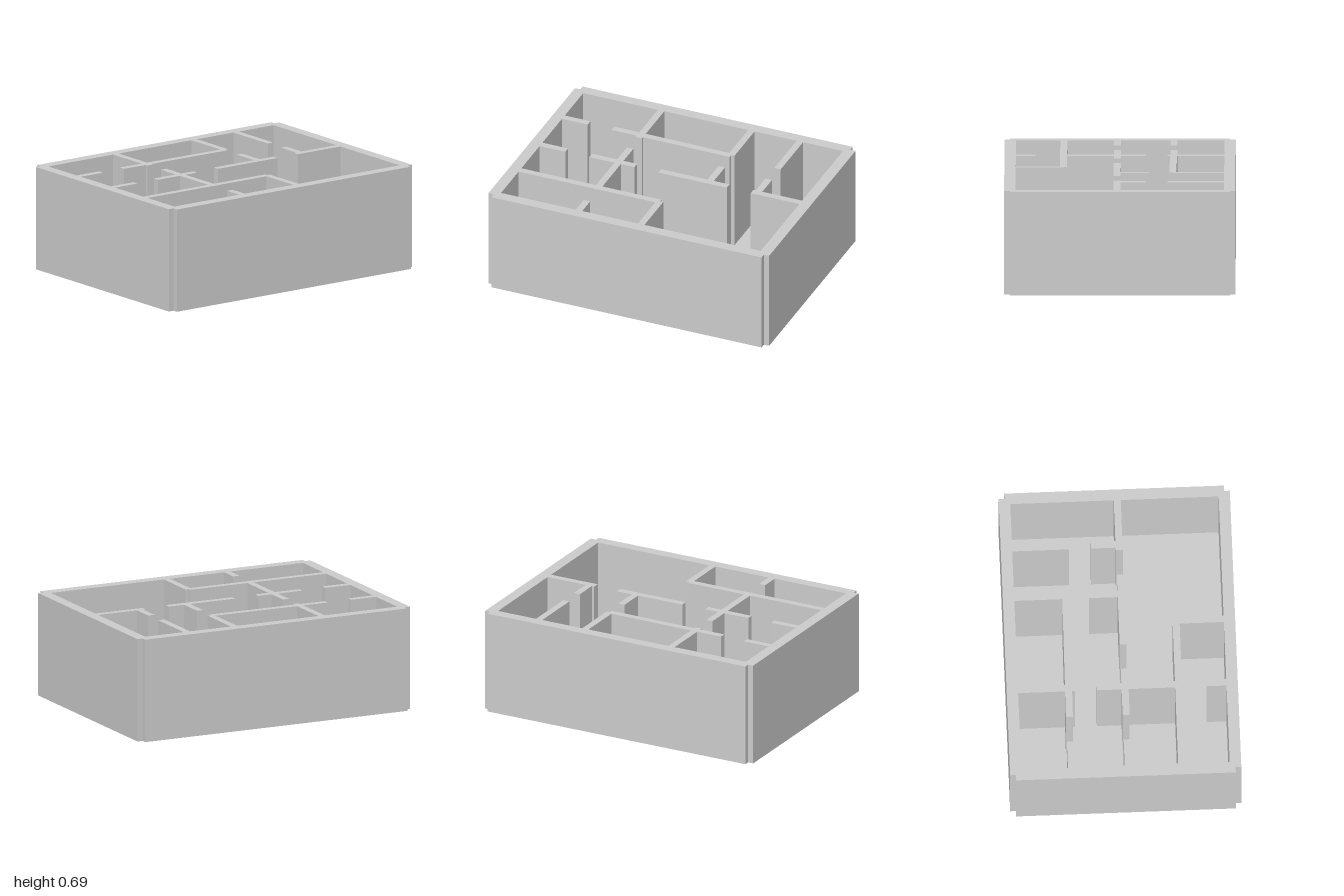
import * as THREE from 'three';

const HEIGHT = 0.69;
const X = 0.9625, Z = 0.72; // centre lines of the outer walls
const OUTER = 0.075, INNER = 0.046;

const plaster = new THREE.MeshStandardMaterial({ color: 0xcccccc, side: THREE.DoubleSide });
plaster.name = 'plaster grey';

// Upright wall along a centre line, open underneath
function wall(name, [x1, z1, x2, z2], thickness) {
  const length = Math.hypot(x2 - x1, z2 - z1);
  const geometry = new THREE.BoxGeometry(length, HEIGHT, thickness);
  const index = Array.from(geometry.index.array);
  index.splice(18, 6); // drop the underside
  geometry.setIndex(index);
  geometry.clearGroups();
  const mesh = new THREE.Mesh(geometry, plaster);
  mesh.name = name;
  mesh.position.set((x1 + x2) / 2, HEIGHT / 2, (z1 + z2) / 2);
  mesh.rotation.y = -Math.atan2(z2 - z1, x2 - x1);
  return mesh;
}

export function createModel() {
  const model = new THREE.Group();
  model.name = 'floorPlan';

  // Thin floor reaching to the middle of the outer walls
  const floor = new THREE.Mesh(new THREE.BoxGeometry(2 * X, 0.005, 2 * Z), plaster);
  floor.name = 'floor';
  floor.position.y = 0.0025;
  model.add(floor);

  // Outer walls, leaving a notch at each corner
  const outerWalls = new THREE.Group();
  outerWalls.name = 'outerWalls';
  outerWalls.add(
    wall('frontWall', [-X, Z, X, Z], OUTER),
    wall('backWall', [-X, -Z, X, -Z], OUTER),
    wall('leftWall', [X, -Z, X, Z], OUTER),
    wall('rightWall', [-X, -Z, -X, Z], OUTER)
  );
  model.add(outerWalls);

  // Partitions as centre lines: x1, z1, x2, z2; gaps are doorways
  const partitions = [
    // running front to back
    [-0.37, -Z, -0.37, -0.31], [-0.37, -0.167, -0.37, 0.395], [-0.37, 0.552, -0.37, Z],
    [0.273, -Z, 0.273, -0.346], [0.273, -0.192, 0.273, 0.018],
    [0.618, -Z, 0.618, -0.31], [0.618, -0.167, 0.618, 0.018],
    [0.073, 0.368, 0.073, Z],
    // running side to side
    [-X, -0.354, -0.742, -0.354], [-0.572, -0.354, 0.273, -0.345],
    [-X, 0.018, -0.742, 0.018], [-0.572, 0.018, -0.25, 0.018],
    [-0.08, 0.018, 0.408, 0.018], [0.578, 0.018, X, 0.018],
    [-X, 0.368, 0.073, 0.37]
  ];
  const innerWalls = new THREE.Group();
  innerWalls.name = 'innerWalls';
  partitions.forEach((line, i) => innerWalls.add(wall(`partition${i + 1}`, line, INNER)));
  model.add(innerWalls);

  return model;
}
